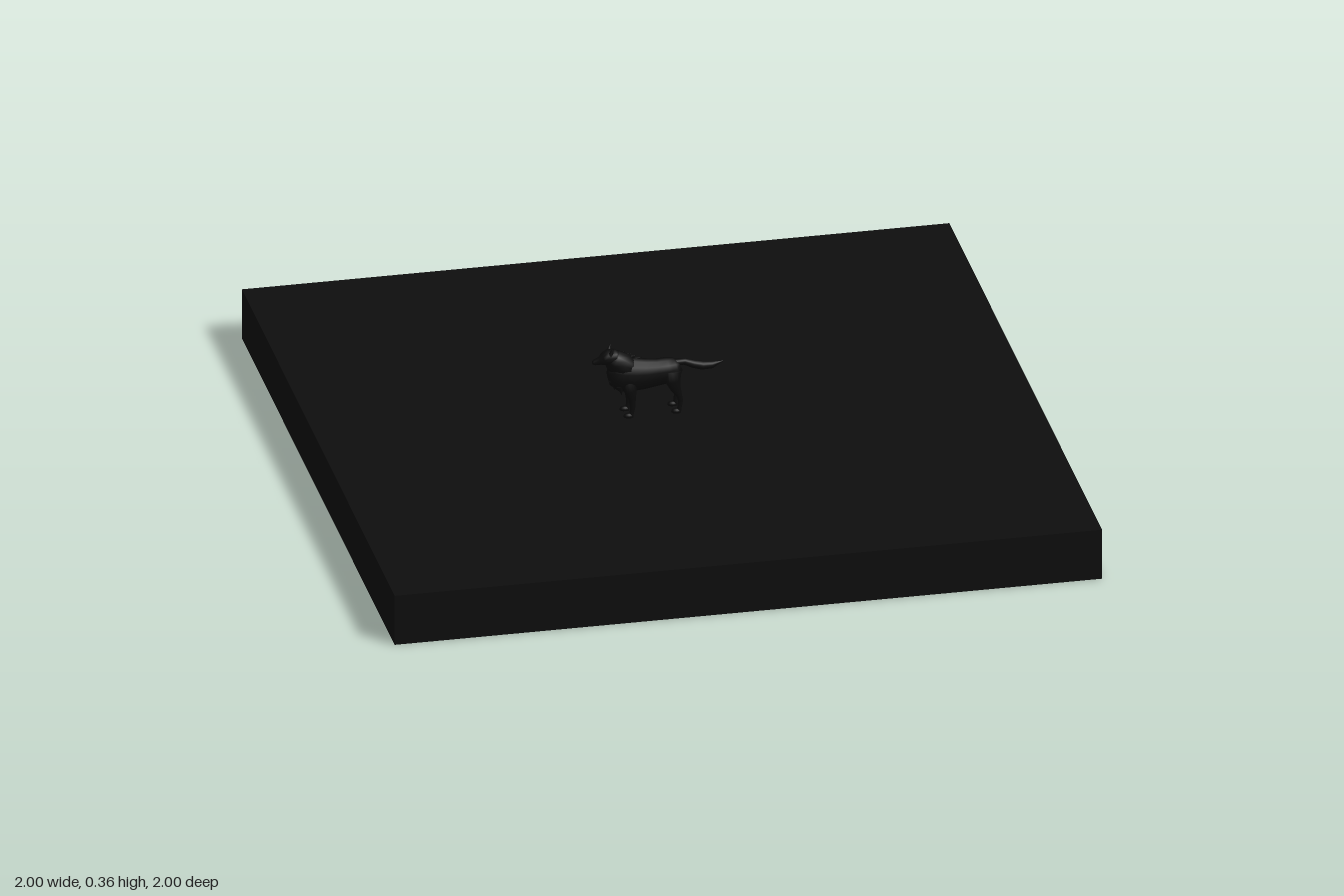
import * as THREE from 'three';

// Closed tube of elliptical rings; each section is [x, y, half thickness, half width]
function loft(sections, sides = 14) {
  const pos = [], index = [], n = sections.length;
  sections.forEach(([x, y, h, w], i) => {
    const a = sections[Math.max(i - 1, 0)], b = sections[Math.min(i + 1, n - 1)];
    const t = new THREE.Vector2(b[0] - a[0], b[1] - a[1]).normalize();
    for (let j = 0; j < sides; j++) {
      const u = (j / sides) * Math.PI * 2;
      pos.push(x - t.y * h * Math.cos(u), y + t.x * h * Math.cos(u), w * Math.sin(u));
    }
  });
  for (let i = 0; i < n - 1; i++) {
    for (let j = 0; j < sides; j++) {
      const a = i * sides + j, b = i * sides + (j + 1) % sides;
      index.push(a, b, a + sides, b, b + sides, a + sides);
    }
  }
  for (let j = 1; j < sides - 1; j++) {
    const e = (n - 1) * sides;
    index.push(0, j + 1, j, e, e + j, e + j + 1);
  }
  const g = new THREE.BufferGeometry();
  g.setAttribute('position', new THREE.Float32BufferAttribute(pos, 3));
  g.setIndex(index);
  g.computeVertexNormals();
  return g;
}

export function createModel() {
  const model = new THREE.Group();
  const slabBlack = new THREE.MeshStandardMaterial({ name: 'slab black', color: 0x0d0d0d });
  const furBlack = new THREE.MeshStandardMaterial({ name: 'fur black', color: 0x0a0a0a });

  const add = (parent, name, geometry, material, z = 0) => {
    const m = new THREE.Mesh(geometry, material);
    m.name = name;
    m.position.z = z;
    parent.add(m);
    return m;
  };

  // Slab, turned slightly about the vertical
  const base = add(model, 'slab', new THREE.BoxGeometry(1.958, 0.147, 1.958), slabBlack);
  base.position.y = 0.0735;
  base.rotation.y = -0.0215;

  const wolf = new THREE.Group();
  wolf.name = 'wolf';
  wolf.position.z = -0.003;
  model.add(wolf);

  // Torso with deep chest and tucked belly
  add(wolf, 'torso', loft([
    [-0.178, 0.276, 0.012, 0.012], [-0.165, 0.275, 0.037, 0.027], [-0.14, 0.268, 0.05, 0.034],
    [-0.11, 0.264, 0.049, 0.034], [-0.075, 0.262, 0.044, 0.031], [-0.04, 0.263, 0.039, 0.028],
    [-0.01, 0.266, 0.037, 0.03], [0.012, 0.27, 0.031, 0.026], [0.024, 0.275, 0.014, 0.013],
  ]), furBlack);

  // Neck ruff rising to the head
  add(wolf, 'neck', loft([
    [-0.115, 0.27, 0.036, 0.03], [-0.142, 0.297, 0.036, 0.032],
    [-0.163, 0.312, 0.031, 0.028], [-0.177, 0.319, 0.018, 0.018],
  ]), furBlack);

  // Skull and muzzle
  add(wolf, 'head', loft([
    [-0.146, 0.322, 0.012, 0.014], [-0.158, 0.323, 0.021, 0.023], [-0.176, 0.322, 0.023, 0.023],
    [-0.19, 0.318, 0.018, 0.018], [-0.2, 0.314, 0.011, 0.011], [-0.216, 0.311, 0.008, 0.008],
    [-0.221, 0.31, 0.004, 0.004],
  ]), furBlack);

  // Bushy tail
  add(wolf, 'tail', loft([
    [0.008, 0.287, 0.009, 0.009], [0.035, 0.286, 0.009, 0.008], [0.06, 0.276, 0.011, 0.01],
    [0.085, 0.269, 0.012, 0.011], [0.112, 0.268, 0.01, 0.009], [0.142, 0.276, 0.001, 0.001],
  ]), furBlack);

  const frontLeg = loft([
    [-0.122, 0.255, 0.02, 0.009], [-0.12, 0.225, 0.017, 0.01], [-0.115, 0.2, 0.01, 0.008],
    [-0.114, 0.175, 0.007, 0.006], [-0.117, 0.158, 0.006, 0.006], [-0.12, 0.146, 0.008, 0.008],
  ]);
  const hindLeg = loft([
    [0, 0.27, 0.022, 0.01], [-0.002, 0.242, 0.021, 0.011], [0.006, 0.218, 0.014, 0.009],
    [0.015, 0.198, 0.008, 0.006], [0.019, 0.182, 0.007, 0.006],
    [0.016, 0.162, 0.006, 0.006], [0.013, 0.146, 0.007, 0.008],
  ]);
  const paw = new THREE.SphereGeometry(1, 12, 8);
  const ear = new THREE.ConeGeometry(0.009, 0.026, 8);
  const tuft = new THREE.ConeGeometry(0.009, 0.03, 6);

  for (const side of [-1, 1]) {
    add(wolf, 'frontLeg', frontLeg, furBlack, side * 0.023);
    add(wolf, 'hindLeg', hindLeg, furBlack, side * 0.023);
    for (const x of [-0.126, 0.007]) {
      const p = add(wolf, 'paw', paw, furBlack, side * 0.023);
      p.scale.set(0.014, 0.008, 0.009);
      p.position.set(x, 0.152, side * 0.023);
    }
    const e = add(wolf, 'ear', ear, furBlack);
    e.position.set(-0.17, 0.343, side * 0.014);
    e.rotation.set(side * 0.15, 0, -0.3);

    // Shaggy fur under the chest
    for (let i = 0; i < 5; i++) {
      const t = add(wolf, 'chestFur', tuft, furBlack);
      t.position.set(-0.165 + i * 0.018, 0.242 - Math.sin(i * 0.8) * 0.02, side * (0.012 + (i % 2) * 0.01));
      t.rotation.z = Math.PI + 0.25;
    }
  }

  // Fur tips along the nape
  for (let i = 0; i < 4; i++) {
    const t = add(wolf, 'napeFur', tuft, furBlack);
    t.position.set(-0.145 + i * 0.016, 0.329 - i * 0.007, 0);
    t.rotation.z = -1.2;
  }
  return model;
}
